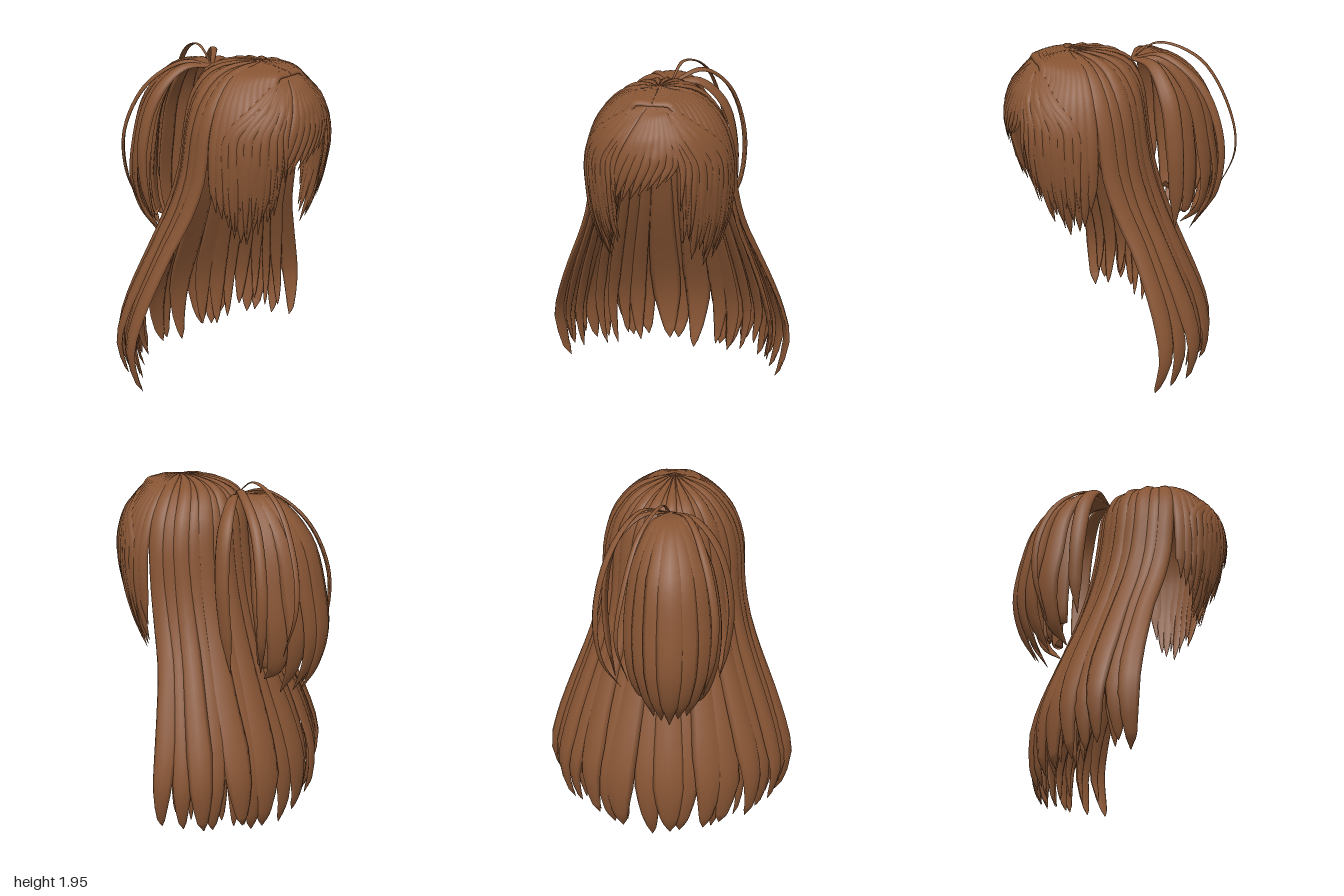
import * as THREE from 'three';

const V = (x, y, z) => new THREE.Vector3(x, y, z);
const rad = THREE.MathUtils.degToRad;
const lerp = THREE.MathUtils.lerp;
const clamp = THREE.MathUtils.clamp;

// Small seeded random for uneven locks
let seed = 7;
function jitter(amount) {
  seed = (seed * 16807) % 2147483647;
  return (seed / 2147483647 - 0.5) * 2 * amount;
}

// Rows of [y, half width, centre z, back z] for the long back hair
const BACK = [
  [1.985, 0.02, 0.28, 0.26], [1.975, 0.09, 0.27, 0.13], [1.95, 0.17, 0.26, 0.02], [1.9, 0.245, 0.25, -0.06],
  [1.8, 0.325, 0.24, -0.11], [1.7, 0.365, 0.23, -0.125], [1.6, 0.385, 0.22, -0.135], [1.4, 0.4, 0.2, -0.165],
  [1.2, 0.44, 0.15, -0.215], [1.0, 0.51, 0.08, -0.28], [0.8, 0.59, 0.03, -0.36], [0.6, 0.66, -0.01, -0.44],
  [0.4, 0.705, -0.02, -0.495], [0.2, 0.67, 0.01, -0.49], [0, 0.57, 0.03, -0.43]];

// Rows of [y, half width, front z] for the fringe and face-framing hair
const FRONT = [
  [1.98, 0.06, 0.34], [1.95, 0.17, 0.42], [1.9, 0.245, 0.5], [1.8, 0.325, 0.575], [1.7, 0.37, 0.61],
  [1.6, 0.39, 0.62], [1.5, 0.395, 0.61], [1.3, 0.385, 0.565], [1.2, 0.36, 0.53], [1.05, 0.31, 0.47], [0.9, 0.25, 0.42]];

function rowAt(rows, y) {
  let i = 0;
  while (i < rows.length - 2 && rows[i + 1][0] > y) i++;
  const k = clamp((rows[i][0] - y) / (rows[i][0] - rows[i + 1][0]), 0, 1);
  return rows[i].map((v, j) => lerp(v, rows[i + 1][j], k));
}

// Lens-shaped lock swept along a curve, facing away from centre(p)
function lockGeometry(points, widths, centre, segments = 30) {
  const curve = new THREE.CatmullRomCurve3(points, false, 'centripetal');
  const sides = 8, pos = [], index = [];
  for (let i = 0; i <= segments; i++) {
    const t = i / segments, p = curve.getPoint(t), tangent = curve.getTangent(t);
    const f = t * (widths.length - 1), k = Math.min(Math.floor(f), widths.length - 2);
    const w = lerp(widths[k], widths[k + 1], f - k), thick = Math.min(0.014, w * 0.35);
    const across = tangent.clone().cross(p.clone().sub(centre(p))).normalize();
    const out = across.clone().cross(tangent).normalize();
    for (let j = 0; j < sides; j++) {
      const a = j / sides * Math.PI * 2, c = Math.cos(a);
      const v = p.clone().addScaledVector(across, w * c)
        .addScaledVector(out, thick * Math.sin(a) - 0.18 * w * c * c);
      pos.push(v.x, v.y, v.z);
      if (i < segments) {
        const n = (j + 1) % sides, q = i * sides, r = q + sides;
        index.push(q + j, r + j, q + n, r + j, r + n, q + n);
      }
    }
  }
  const g = new THREE.BufferGeometry();
  g.setAttribute('position', new THREE.Float32BufferAttribute(pos, 3));
  g.setIndex(index);
  g.computeVertexNormals();
  return g;
}

const headCentre = p => V(0, Math.min(p.y, 1.5), 0.22);
const tailCentre = p => V(-0.02, Math.min(p.y, 1.5), -0.25);

export function createModel() {
  const hair = new THREE.MeshStandardMaterial({ color: 0x885534 });
  hair.name = 'brown hair';
  const model = new THREE.Group();
  model.name = 'hair';

  function section(name) {
    const g = new THREE.Group();
    g.name = name;
    model.add(g);
    return (points, widths, centre) => {
      const m = new THREE.Mesh(lockGeometry(points, widths, centre), hair);
      m.name = name + 'Lock';
      g.add(m);
    };
  }

  // One long lock of back hair, falling from the crown; inset shrinks it towards the tip
  function backLock(add, deg, half, inset, raise) {
    const side = Math.sin(rad(deg));
    const tip = 0.05 + 0.12 * side * side + raise + jitter(0.045);
    const sway = jitter(half * 0.5), length = 0.45 + jitter(0.15);
    const ys = BACK.map(r => r[0]).filter(y => y > tip + 0.06).concat([tip + 0.05, tip]);
    const points = [], widths = [];
    for (const y of ys) {
      const [, a, zc, zb] = rowAt(BACK, y);
      const th = rad(deg + sway * clamp((0.9 - y) / 0.8, 0, 1)), b = zc - zb;
      const s = 1 - inset * clamp(0.25 + (1.5 - y) * 0.75, 0.25, 1);
      points.push(V(a * s * Math.sin(th), y - inset * 0.25, zc - b * s * Math.cos(th)));
      const arc = Math.hypot(a * Math.cos(th), b * Math.sin(th));
      widths.push(Math.max(0.002, rad(half) * arc * Math.sqrt(clamp((y - tip) / length, 0, 1))));
    }
    add(points, widths, headCentre);
  }
  const addBack = section('backHair');
  for (let i = 0; i < 17; i++) {
    const deg = -85 + i * 10.625;
    backLock(addBack, deg + (Math.abs(deg) < 80 ? jitter(1.5) : 0), 8.2, i % 2 ? 0.035 : 0, 0);
  }
  // Narrower strands behind the outer layer at each side
  const addInner = section('innerBackHair');
  for (const s of [1, -1]) {
    for (let i = 0; i < 7; i++) backLock(addInner, s * (24 + i * 9.5), 5 + jitter(1), 0.1 + jitter(0.04), 0.05);
  }

  // Point on the front of the head at an angle from +x
  function frontPoint(deg, y, scale = 1) {
    const [, a, zf] = rowAt(FRONT, y), th = rad(deg);
    return V(a * scale * Math.cos(th), y, 0.25 + (zf - 0.25) * scale * Math.sin(th));
  }

  // Side hair: bands over the top of the head, ending beside the face
  const addSide = section('sideHair');
  for (const s of [1, -1]) {
    for (let i = 0; i < 9; i++) {
      const deg = 5 + i * 6.6, startZ = 0.27 + i * 0.0225;
      const tip = 1.19 - 0.13 * Math.sin(i / 8 * Math.PI) + jitter(0.06);
      const ys = [1.945, 1.9, 1.8, 1.65, 1.5, 1.35, tip + 0.09, tip];
      const points = [V(0, 1.978 - i * 0.0035, startZ)], widths = [0.022];
      ys.forEach((y, k) => {
        const p = frontPoint(deg, y);
        p.z = lerp(startZ, p.z, clamp((1.98 - y) / 0.22, 0, 1));
        p.x *= s;
        points.push(p);
        widths.push([0.028, 0.034, 0.04, 0.042, 0.04, 0.034, 0.02, 0.002][k]);
      });
      addSide(points, widths, headCentre);
    }
  }

  // Lock that starts at the parting, fans out to an angle and leans as it falls
  const addFringe = section('fringe');
  function fringeLock(deg, lean, tip, width, scale) {
    const points = [V(0, 1.95, 0.44)], widths = [0.008], n = 9;
    for (let k = 1; k <= n; k++) {
      const y = lerp(1.935, tip, Math.pow(k / n, 1.5));
      const fan = Math.pow(clamp((1.955 - y) / 0.28, 0, 1), 0.5);
      points.push(frontPoint(90 + (deg - 90) * fan + lean * (k / n) ** 2, y, scale));
      widths.push(k === n ? 0.002 : width * Math.min(1, 0.35 + k * 0.2, (n - k) * 0.28 + 0.1));
    }
    addFringe(points, widths, headCentre);
  }
  // Short middle locks sweep sideways, longer towards -x
  for (let i = 0; i < 8; i++) {
    const u = i / 7;
    fringeLock(lerp(50, 104, u), lerp(26, 20, u), lerp(1.6, 1.41, Math.pow(u, 0.8)) + jitter(0.015), 0.036, 1.02);
  }
  // Face-framing locks on both sides, with tips at mixed heights
  for (const s of [1, -1]) {
    for (let i = 0; i < 8; i++) {
      const deg = 16 + i * 5.8;
      const tip = 1.08 + [0.1, 0.02, 0.16, 0, 0.1, 0.02, 0.2, 0.1][i] + jitter(0.04);
      fringeLock(90 - s * (90 - deg), s * (2 + i * 0.6), tip, 0.032, 1.02);
    }
    // Wisps curling in at the cheek
    for (let i = 0; i < 3; i++) fringeLock(90 - s * (30 + i * 4), s * 6, 1.42 - i * 0.1, 0.02, 1.04);
  }

  // Ponytail: outer and inner layers arching back from the root
  const root = () => V(0, 1.9, -0.08);
  const addTail = section('ponytail');
  const layers = [
    { count: 7, half: 0.21, depth: -0.612, curve: 0.16, drop: 0.12, tip: 0.83, size: 1.15 },
    { count: 5, half: 0.2, depth: -0.43, curve: 0.06, drop: 0.03, tip: 0.95, size: 0.9 }];
  for (const { count, half, depth, curve, drop, tip, size } of layers) {
    for (let i = 0; i < count; i++) {
      const u = i / (count - 1) * 2 - 1, x = -0.03 + half * u, z = depth + curve * u * u + jitter(0.012);
      const reach = k => lerp(-0.12, z, k);
      addTail([root(), V(x * 0.4, 1.895, reach(0.35)), V(x * 0.85, 1.7, reach(0.78)), V(x * 1.05, 1.4, reach(0.97)),
        V(x, 1.18, z - 0.01), V(x * 0.85, 1.0, z + drop * 0.25),
        V(x * 0.65, tip + 0.08 * Math.abs(u) + jitter(0.05), z + drop)],
      [0.012, 0.04, 0.062, 0.068, 0.062, 0.042, 0.002].map(w => w * size), tailCentre);
    }
  }

  // Loose strands around the ponytail
  const addLoose = section('looseStrand');
  const strands = [
    [0.016, [0.04, 1.985, -0.21], [0.14, 1.9, -0.42], [0.22, 1.62, -0.57], [0.25, 1.38, -0.6], [0.2, 1.1, -0.5]],
    [0.03, [0.15, 1.95, -0.2], [0.29, 1.8, -0.37], [0.37, 1.5, -0.46], [0.35, 1.2, -0.45], [0.25, 1.0, -0.39]],
    [0.05, [0.15, 1.9, -0.14], [0.29, 1.76, -0.18], [0.35, 1.5, -0.2], [0.34, 1.2, -0.22], [0.3, 0.98, -0.23]],
    [0.045, [-0.14, 1.9, -0.17], [-0.27, 1.76, -0.25], [-0.34, 1.48, -0.3], [-0.32, 1.2, -0.31], [-0.28, 1.02, -0.29]],
    [0.028, [-0.1, 1.92, -0.2], [-0.2, 1.77, -0.4], [-0.26, 1.5, -0.52], [-0.25, 1.25, -0.53], [-0.2, 1.0, -0.45]]];
  for (const [w, ...pts] of strands) {
    addLoose([root(), ...pts.map(p => V(...p))], [w * 0.3, w * 0.7, w, w, w * 0.8, 0.002], tailCentre);
  }
  return model;
}
